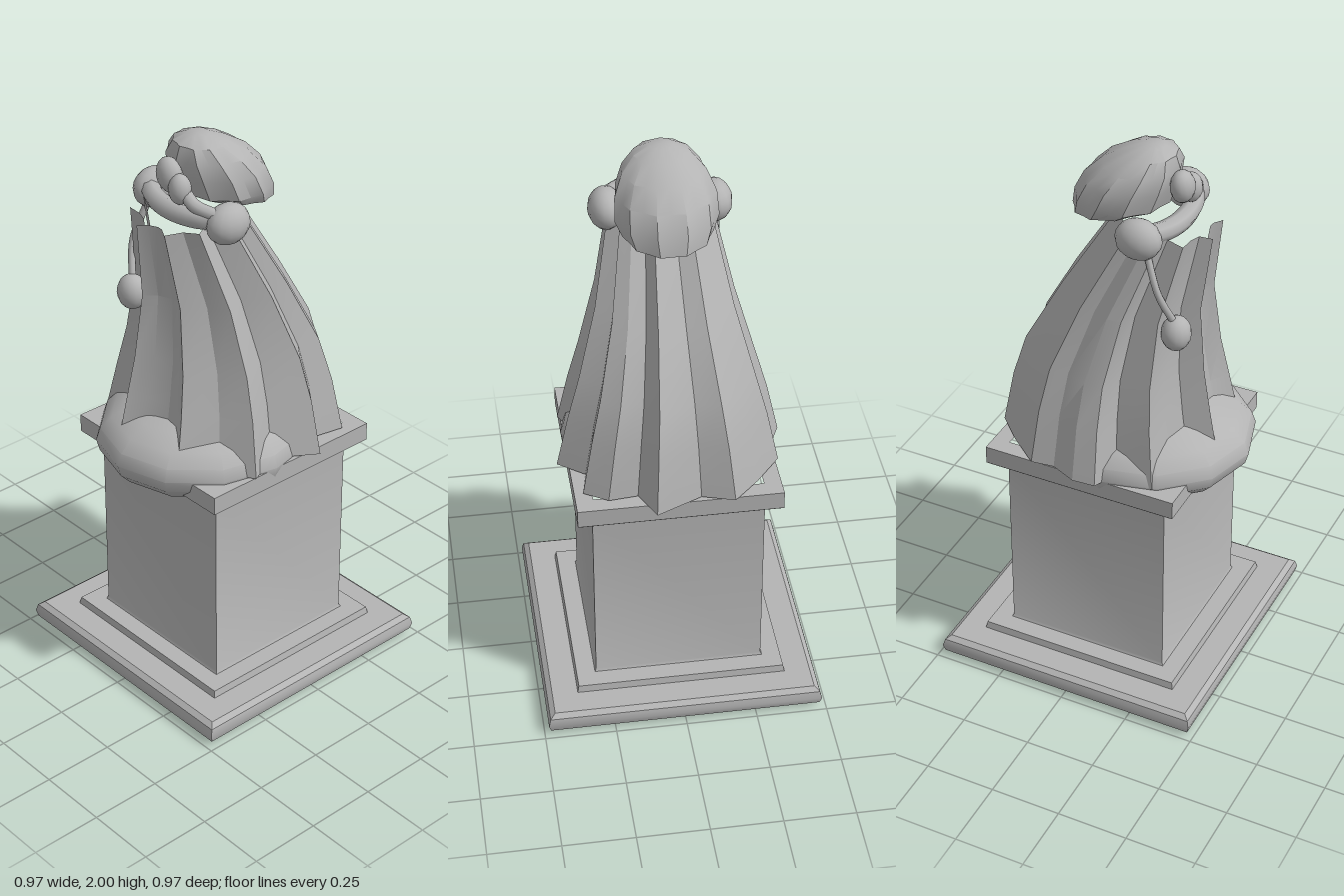
import * as THREE from 'three';
import { toCreasedNormals } from 'three/addons/utils/BufferGeometryUtils.js';

const stone = new THREE.MeshStandardMaterial({ color: 0xb4b4b4 });
stone.name = 'grey stone';

function addPart(group, name, geometry) {
  const mesh = new THREE.Mesh(geometry, stone);
  mesh.name = name;
  group.add(mesh);
  return mesh;
}

// Skin a stack of closed rings (each running front, left, back, right)
function loft(rings, closeBottom, closeTop) {
  const n = rings[0].length;
  const pos = rings.flat().flatMap((p) => [p.x, p.y, p.z]);
  const index = [];
  for (let k = 0; k < rings.length - 1; k++) {
    for (let i = 0; i < n; i++) {
      const j = (i + 1) % n;
      const a = k * n + i, b = k * n + j, c = b + n, d = a + n;
      index.push(a, b, c, a, c, d);
    }
  }
  const close = (k, top) => {
    const centre = new THREE.Vector3();
    rings[k].forEach((p) => centre.addScaledVector(p, 1 / n));
    const m = pos.length / 3;
    pos.push(centre.x, centre.y, centre.z);
    for (let i = 0; i < n; i++) {
      const a = k * n + i, b = k * n + ((i + 1) % n);
      index.push(...(top ? [a, b, m] : [b, a, m]));
    }
  };
  if (closeBottom) close(0, false);
  if (closeTop) close(rings.length - 1, true);
  const g = new THREE.BufferGeometry();
  g.setAttribute('position', new THREE.Float32BufferAttribute(pos, 3));
  g.setIndex(index);
  return g;
}

function ellipsoid(group, name, [x, y, z], [rx, ry, rz], tilt = 0) {
  const mesh = addPart(group, name, new THREE.SphereGeometry(1, 14, 10));
  mesh.scale.set(rx, ry, rz);
  mesh.position.set(x, y, z);
  mesh.rotation.z = tilt;
}

function tube(group, name, points, radius) {
  const curve = new THREE.CatmullRomCurve3(points.map((p) => new THREE.Vector3(...p)));
  addPart(group, name, new THREE.TubeGeometry(curve, 14, radius, 8));
}

// Square pedestal turned as a four-sided lathe, hollow at the top under the robe
function pedestal(group) {
  const profile = [
    [0, 0], [0.46, 0], [0.478, 0.015], [0.485, 0.04], [0.478, 0.066], [0.46, 0.08],
    [0.37, 0.08], [0.365, 0.105], [0.3, 0.105], [0.295, 0.115], [0.295, 0.815],
    [0.345, 0.815], [0.35, 0.82], [0.35, 0.885], [0.29, 0.885],
  ].map(([h, y]) => new THREE.Vector2(h * Math.SQRT2, y));
  const g = new THREE.LatheGeometry(profile, 4, Math.PI / 4);
  addPart(group, 'pedestal', toCreasedNormals(g, 0.6));
}

// Pleated robe: one hem outline, narrowed and shifted towards the neck
function robe(group) {
  const hem = [
    [0.05, 0.31], [0.1, 0.315], [0.175, 0.36], [0.25, 0.24], [0.36, 0.175], [0.3, 0.05],
    [0.39, -0.09], [0.3, -0.16], [0.32, -0.26], [0.24, -0.31], [0.14, -0.3], [0.09, -0.41],
    [-0.07, -0.335], [-0.18, -0.37], [-0.27, -0.28], [-0.36, -0.17], [-0.35, -0.09],
    [-0.39, 0], [-0.385, 0.08], [-0.3, 0.12], [-0.32, 0.26], [-0.2, 0.27], [-0.12, 0.3],
    [-0.09, 0.4], [-0.03, 0.34],
  ];
  // height, width scale, back z, front z, rise towards the back
  const levels = [
    [0.89, 1, -0.41, 0.4, 0], [1.08, 0.89, -0.375, 0.36, 0], [1.23, 0.78, -0.33, 0.33, 0],
    [1.46, 0.61, -0.2, 0.305, 0], [1.73, 0.44, 0, 0.335, 0.05],
  ];
  const rings = levels.map(([y, s, back, front, rise]) => hem.map(([x, z]) => {
    const f = (z + 0.41) / 0.81;
    return new THREE.Vector3(x * s, y + rise * (1 - f), back + (front - back) * f);
  }));
  addPart(group, 'robe', toCreasedNormals(loft(rings), 0.45));
}

// Scalloped hood, leaning back over the neck
function hood(group) {
  // height, half width, back z, front z
  const levels = [
    [1.74, 0.15, -0.17, 0.12], [1.8, 0.172, -0.16, 0.165], [1.87, 0.168, -0.125, 0.19],
    [1.93, 0.14, -0.065, 0.2], [1.975, 0.095, 0.01, 0.185], [2, 0.04, 0.07, 0.145],
  ];
  const n = 22;
  const rings = levels.map(([y, w, back, front]) => Array.from({ length: n }, (_, i) => {
    const a = (i / n) * Math.PI * 2;
    const r = i % 2 ? 0.94 : 1;
    const lift = y < 1.78 ? 0.02 * (1 + Math.cos(a)) : 0;
    return new THREE.Vector3(Math.sin(a) * w * r, y + lift,
      (back + front) / 2 + Math.cos(a) * r * (front - back) / 2);
  }));
  addPart(group, 'hood', toCreasedNormals(loft(rings, true, true), 0.6));
}

export function createModel() {
  const model = new THREE.Group();
  model.name = 'statue';
  pedestal(model);

  // Rounded cushion bulging out below the front of the hem
  const cushion = new THREE.SphereGeometry(1, 12, 10, 0, Math.PI * 2, 0.5, Math.PI - 0.5);
  cushion.scale(0.36, 0.165, 0.39);
  cushion.translate(0, 0.89, 0.08);
  addPart(model, 'cushion', toCreasedNormals(cushion, 0.6));

  robe(model);
  hood(model);

  // Collar roll with a ball at each end
  tube(model, 'collar', [[-0.18, 1.77, 0.16], [-0.1, 1.765, 0.205], [0, 1.762, 0.22],
    [0.1, 1.765, 0.205], [0.18, 1.77, 0.16]], 0.034);
  for (const side of [-1, 1]) {
    ellipsoid(model, side > 0 ? 'leftCollarBall' : 'rightCollarBall',
      [side * 0.18, 1.755, 0.14], [0.06, 0.07, 0.08]);
  }

  // Knot on the face, with a strand to the left ball
  ellipsoid(model, 'upperKnot', [-0.015, 1.88, 0.215], [0.048, 0.06, 0.04], 0.3);
  ellipsoid(model, 'lowerKnot', [0.04, 1.85, 0.22], [0.038, 0.052, 0.038]);
  tube(model, 'strand', [[0.05, 1.84, 0.21], [0.1, 1.81, 0.21], [0.17, 1.79, 0.18]], 0.022);

  // Pendant hanging on a cord at the right
  tube(model, 'cord', [[-0.18, 1.71, 0.17], [-0.2, 1.58, 0.22], [-0.16, 1.46, 0.26]], 0.012);
  ellipsoid(model, 'pendant', [-0.155, 1.42, 0.265], [0.053, 0.062, 0.05]);
  return model;
}
